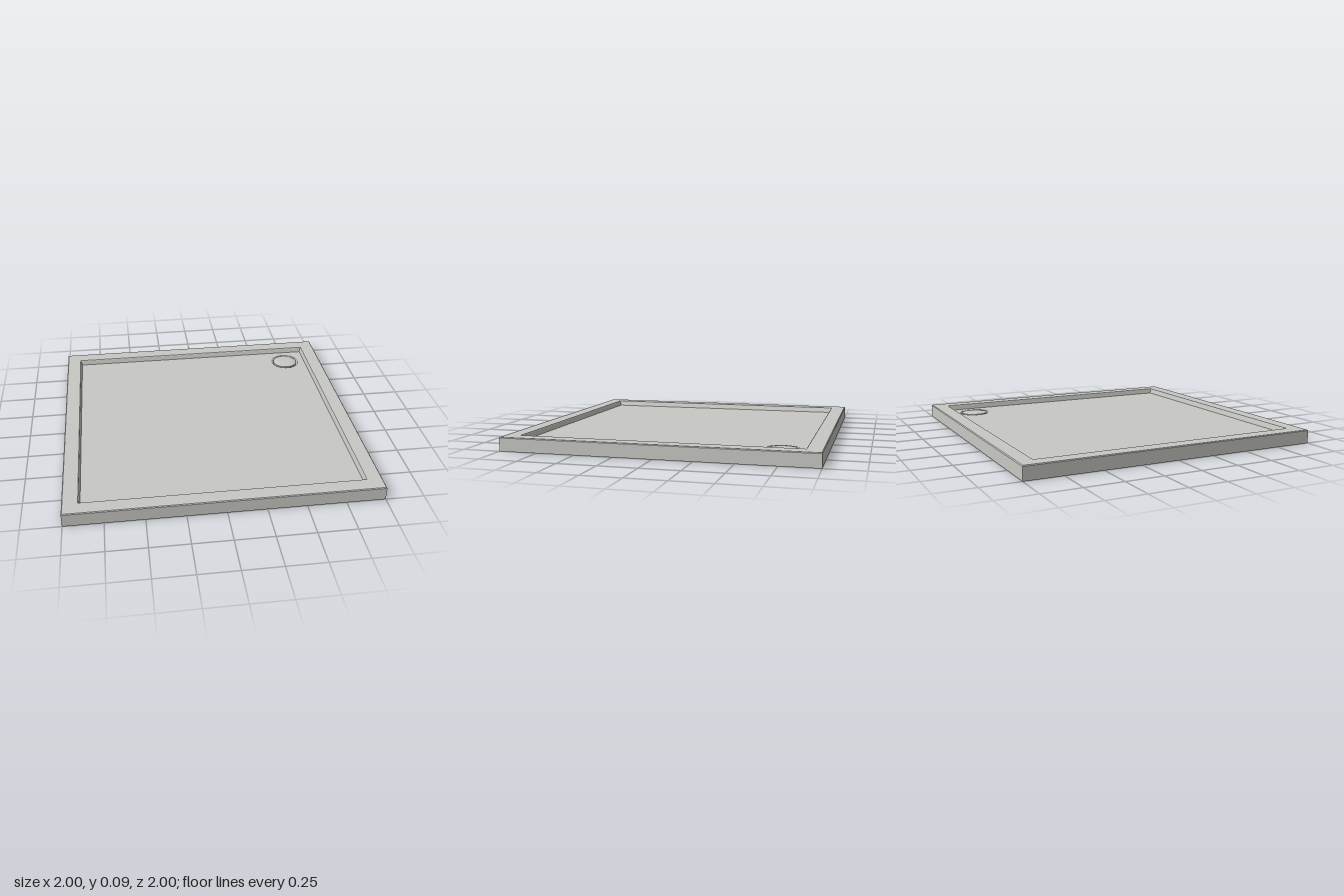
import * as THREE from 'three';
import { toCreasedNormals } from 'three/addons/utils/BufferGeometryUtils.js';

const RIM_Y = 0.09;      // top of the rim
const FLOOR_Y = 0.055;   // standing surface
const FLOOR_HALF = 0.89; // half width of the standing surface
const DRAIN = { x: 0.735, z: -0.74, r: 0.105 };

// Sweep a (half width, height) profile around a square
function squareSweep(profile) {
  const points = profile.map(([half, y]) => new THREE.Vector2(half * Math.SQRT2, y));
  const geometry = new THREE.LatheGeometry(points, 4, Math.PI / 4).toNonIndexed();
  geometry.computeVertexNormals();
  return geometry;
}

// Turn a (radius, height) profile around the drain axis
function drainLathe(profile) {
  const points = profile.map(([r, y]) => new THREE.Vector2(r, y));
  return toCreasedNormals(new THREE.LatheGeometry(points, 48), Math.PI / 5);
}

export function createModel() {
  const group = new THREE.Group();
  group.name = 'showerTray';
  const enamel = new THREE.MeshStandardMaterial({ color: 0xc8c8c4, side: THREE.DoubleSide });
  enamel.name = 'greyEnamel';

  const add = (name, geometry) => {
    const mesh = new THREE.Mesh(geometry, enamel);
    mesh.name = name;
    group.add(mesh);
    return mesh;
  };

  // Outer skirt, flat rim and sloped inner wall, open underneath
  add('rim', squareSweep([
    [1, 0], [1, RIM_Y - 0.005], [0.995, RIM_Y],
    [0.901, RIM_Y], [0.897, RIM_Y - 0.004], [FLOOR_HALF, FLOOR_Y],
  ]));

  // Floor sheet with a round opening for the drain
  const h = FLOOR_HALF;
  const shape = new THREE.Shape([
    new THREE.Vector2(-h, -h), new THREE.Vector2(h, -h),
    new THREE.Vector2(h, h), new THREE.Vector2(-h, h),
  ]);
  const hole = new THREE.Path();
  hole.absarc(DRAIN.x, -DRAIN.z, DRAIN.r, 0, Math.PI * 2, true);
  shape.holes.push(hole);
  const floor = add('floor', new THREE.ShapeGeometry(shape, 48).rotateX(-Math.PI / 2));
  floor.position.y = FLOOR_Y;

  // Shallow dish around the drain
  const dish = add('drainDish', drainLathe([
    [0, 0.041], [0.085, 0.041], [0.092, 0.043], [0.099, 0.051], [DRAIN.r, FLOOR_Y],
  ]));

  // Gently domed cover disc
  const cover = add('drainCover', drainLathe([
    [0.09, 0.042], [0.09, 0.056], [0.087, 0.058], [0.05, 0.06], [0, 0.061],
  ]));
  for (const part of [dish, cover]) part.position.set(DRAIN.x, 0, DRAIN.z);

  return group;
}
